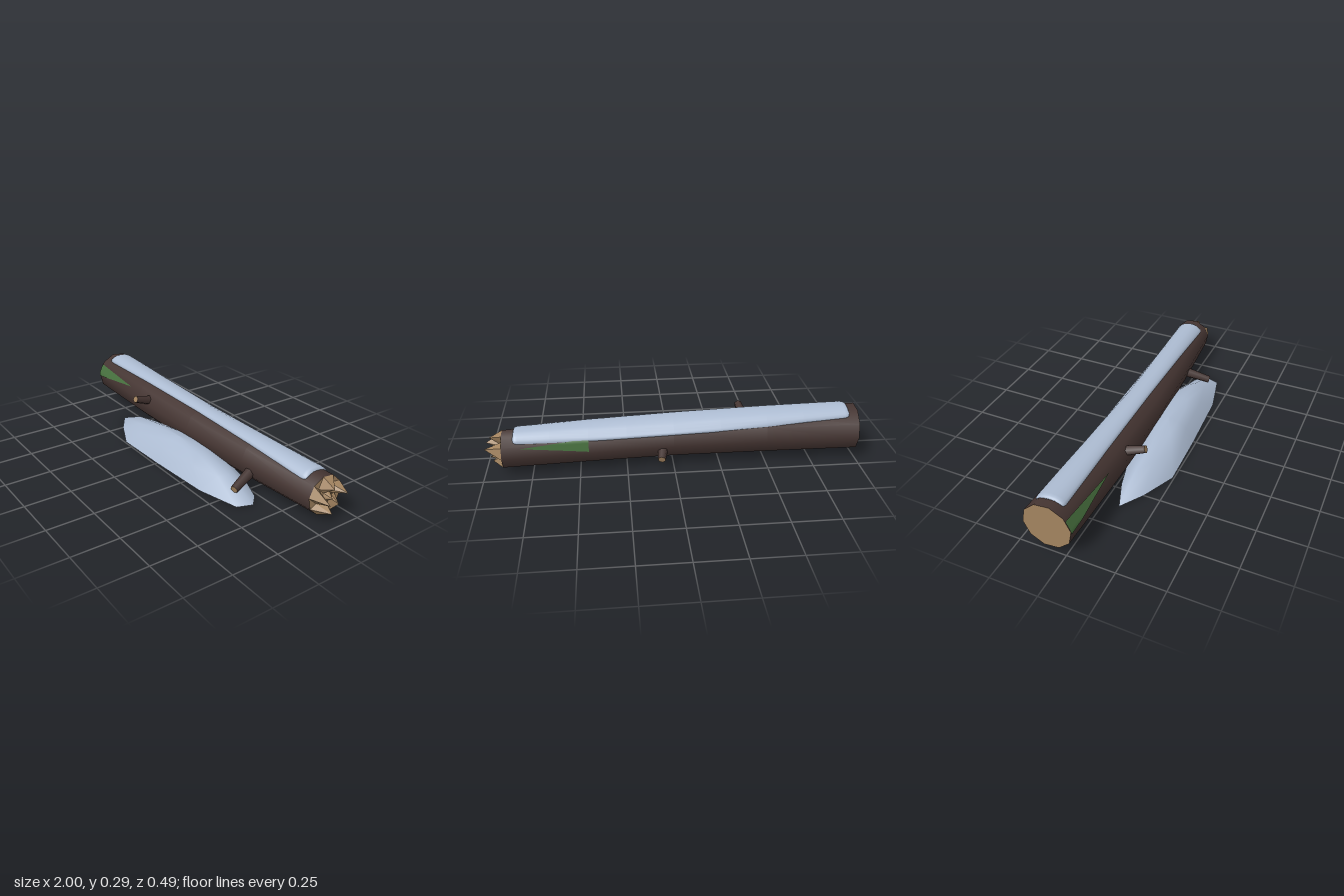
import * as THREE from 'three';

const mat = (name, color, side = THREE.FrontSide) => {
  const m = new THREE.MeshStandardMaterial({ color, side });
  m.name = name;
  return m;
};
const lerp = THREE.MathUtils.lerp;
const SIDES = 10, PHASE = 0.12, STEP = Math.PI * 2 / SIDES;

// Skin between rows of points; closed rows wrap around
function loft(rows, closed = true, flat = false) {
  const n = rows[0].length, pos = rows.flat(2), idx = [];
  for (let i = 0; i < rows.length - 1; i++) {
    for (let j = 0; j < (closed ? n : n - 1); j++) {
      const k = (j + 1) % n, a = i * n + j, b = a + n, c = i * n + k, d = c + n;
      idx.push(a, b, c, c, b, d);
    }
  }
  let g = new THREE.BufferGeometry();
  g.setAttribute('position', new THREE.Float32BufferAttribute(pos, 3));
  g.setIndex(idx);
  if (flat) g = g.toNonIndexed();
  g.computeVertexNormals();
  return g;
}

// Log centreline and radius: x, z, radius
const STATIONS = [[-1, -0.09, 0.128], [-0.5, -0.077, 0.124], [0, -0.074, 0.117], [0.45, -0.094, 0.111], [0.9, -0.122, 0.103]];
function logAt(x) {
  let i = 0;
  while (i < STATIONS.length - 2 && x > STATIONS[i + 1][0]) i++;
  const [a, b] = [STATIONS[i], STATIONS[i + 1]], t = (x - a[0]) / (b[0] - a[0]);
  return { z: lerp(a[1], b[1], t), r: lerp(a[2], b[2], t), y: lerp(0.152, 0.122, (x + 1) / 1.9) };
}
// Point on the many-sided bark at an angle measured from front (+z) to top
function barkPoint(x, a, offset = 0) {
  const { y, z, r } = logAt(x);
  const m = ((((a - PHASE) % STEP) + STEP) % STEP) - STEP / 2;
  const d = r * Math.cos(STEP / 2) / Math.cos(m) + offset;
  return [x, y + d * Math.sin(a), z + d * Math.cos(a)];
}
const ring = (fn) => Array.from({ length: SIDES }, (_, j) => fn(PHASE + j * STEP, j));

export function createModel() {
  const group = new THREE.Group();
  const bark = mat('bark', 0x453532);
  const wood = mat('bare wood', 0xa38460);
  const snow = mat('snow', 0xacbbd1);
  const moss = mat('moss', 0x47703e, THREE.DoubleSide);
  const add = (name, geo, material, parent = group) => {
    const m = new THREE.Mesh(geo, material);
    m.name = name;
    parent.add(m);
    return m;
  };

  // Trunk
  add('trunk', loft(STATIONS.map(([x]) => ring((a) => barkPoint(x, a)))), bark);

  // Sawn end
  const end = logAt(-1);
  const cut = add('sawnEnd', new THREE.CircleGeometry(end.r, SIDES, PHASE), wood);
  cut.position.set(-1, end.y, end.z);
  cut.rotation.y = -Math.PI / 2;

  // Splintered end: rim, ring of alternating spikes, sunken heart
  const tip = logAt(0.9);
  const spikes = [1, 0.97, 0.99, 0.95, 0.98];
  const at = (x, k, a) => [x, tip.y + tip.r * k * Math.sin(a), tip.z + tip.r * k * Math.cos(a)];
  add('splinteredEnd', loft([
    ring((a) => barkPoint(0.9, a)),
    ring((a, j) => j % 2 ? at(0.9, 0.6, a) : at(spikes[j / 2], 0.62, a)),
    ring((a, j) => j % 2 ? at(0.91, 0.3, a) : at(0.915, 0.25, a)),
    ring((a) => at(0.95, 0, a)),
  ], true, true), wood);

  // Broken branch stubs
  const stubs = [
    [[-0.41, 0.175, 0.01], [-0.395, 0.213, 0.126]],
    [[0.497, 0.098, -0.01], [0.535, 0.056, 0.126]],
    [[0.055, 0.105, -0.15], [0.07, 0.076, -0.238]],
  ];
  stubs.forEach(([from, to], i) => {
    const a = new THREE.Vector3(...from), b = new THREE.Vector3(...to);
    const len = a.distanceTo(b), stub = new THREE.Group();
    stub.name = 'branchStub' + (i + 1);
    stub.position.copy(a);
    stub.quaternion.setFromUnitVectors(new THREE.Vector3(0, 1, 0), b.clone().sub(a).normalize());
    add('stubBark', new THREE.CylinderGeometry(0.021, 0.029, len, 6, 1, true).translate(0, len / 2, 0), bark, stub);
    add('stubCut', new THREE.CircleGeometry(0.021, 6).rotateX(-Math.PI / 2).rotateY(Math.PI / 2).translate(0, len, 0), wood, stub);
    group.add(stub);
  });

  // Moss patches hugging the bark, tapering to a point
  const patch = (name, x0, x1, lo, hi, point) => {
    const rows = [];
    for (let i = 0; i <= 8; i++) {
      const t = i / 8, row = [];
      for (let j = 0; j <= 6; j++) {
        row.push(barkPoint(lerp(x0, x1, t), lerp(lerp(lo, hi, j / 6), point, t), 0.004));
      }
      rows.push(row);
    }
    add(name, loft(rows, false), moss);
  };
  patch('frontMoss', -1, -0.61, 0.0, 0.62, 0.46);
  patch('backMoss', 0.45, 0.8, Math.PI - 0.62, Math.PI + 0.02, Math.PI - 0.4);

  // Snow strip draped along the top, rounded at both ends
  const strip = [];
  const ends = [[0, 0.05], [0.003, 0.6], [0.012, 0.88], [0.025, 1]];
  const xs = [...ends.map(([d, s]) => [-0.95 + d, s]),
    ...[-0.7, -0.5, -0.25, 0, 0.25, 0.45, 0.65].map((x) => [x, 1]),
    ...ends.map(([d, s]) => [0.84 - d, s]).reverse()];
  for (const [x, s] of xs) {
    const c = logAt(x), mid = lerp(-0.095, -0.121, (x + 0.95) / 1.79), row = [];
    for (let j = 0; j < 24; j++) {
      const a = j / 24 * Math.PI * 2, ca = Math.cos(a), sa = Math.sin(a);
      const z = mid + 0.077 * (0.8 + 0.2 * s) * Math.sign(ca) * Math.pow(Math.abs(ca), 0.75);
      const off = Math.min(Math.abs(z - c.z), c.r * 0.84);
      const top = c.y + Math.sqrt(c.r * c.r - off * off);
      row.push([x, top - 0.003 + 0.016 * s * Math.sign(sa) * Math.pow(Math.abs(sa), 0.6), z]);
    }
    strip.push(row);
  }
  add('snowStrip', loft(strip), snow);

  // Snow drift lying against the front
  const outline = [[0.63, 0.08], [0.6, 0.16], [0.37, 0.215], [0, 0.235], [-0.32, 0.243], [-0.5, 0.16],
    [-0.62, 0.08], [-0.47, 0.02], [-0.2, -0.05], [0.1, -0.07], [0.4, -0.05], [0.57, 0.02]];
  const level = (s, y) => outline.map(([x, z]) => [x * s, y, 0.085 + (z - 0.085) * s]);
  add('snowDrift', loft([level(1, 0), level(0.69, 0.08), level(0.35, 0.112), level(0.001, 0.121)]), snow);
  add('snowDriftBase', loft([level(0.001, 0), level(1, 0)]), snow);

  return group;
}
